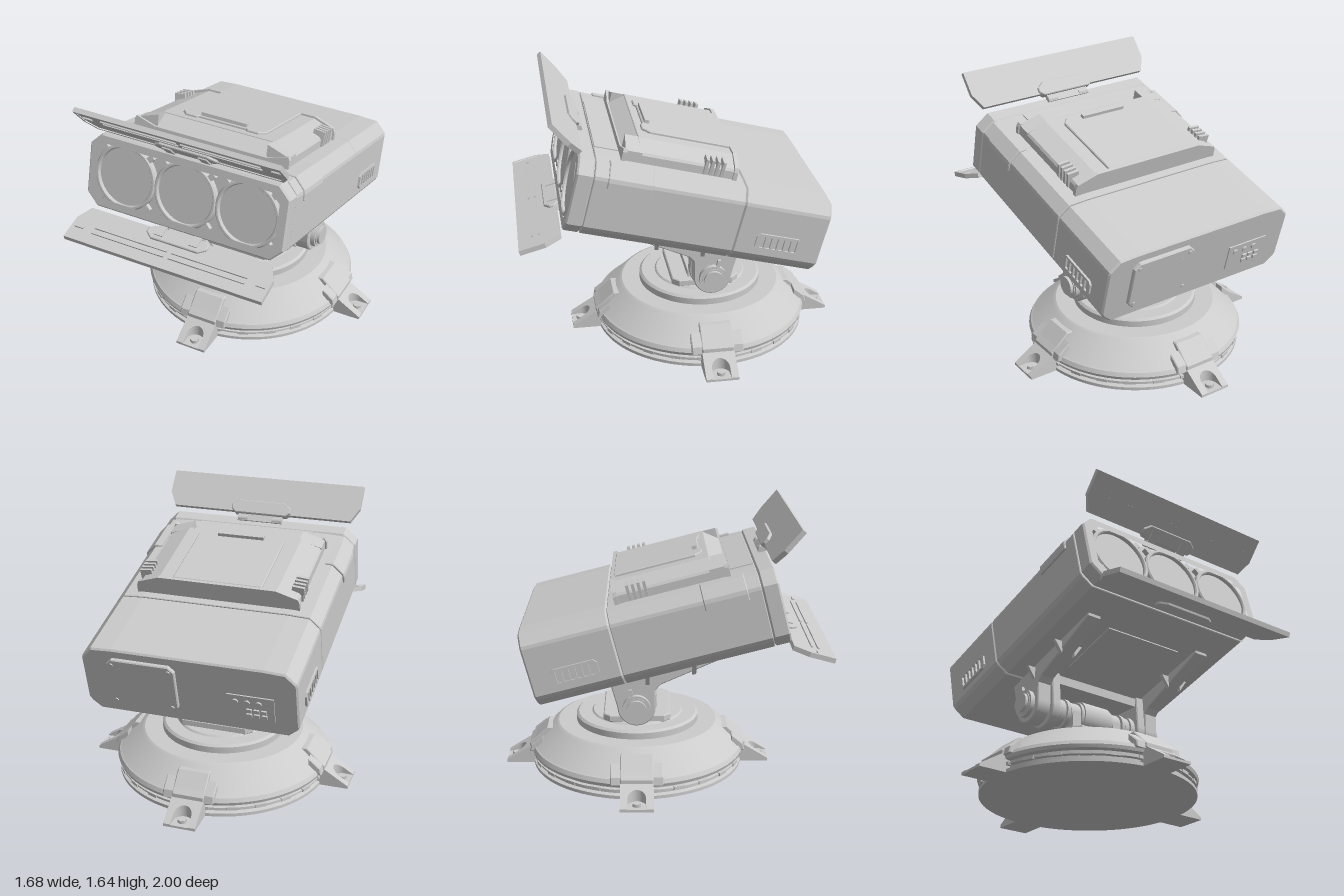
import * as THREE from 'three';
import { toCreasedNormals } from 'three/addons/utils/BufferGeometryUtils.js';

const mat = new THREE.MeshStandardMaterial({ color: 0xcccccc });
const PIVOT_Y = 0.508, PIVOT_Z = -0.155;

function add(parent, name, geo, x = 0, y = 0, z = 0) {
  const m = new THREE.Mesh(geo, mat);
  m.name = name;
  m.position.set(x, y, z);
  parent.add(m);
  return m;
}
const box = (p, name, w, h, d, x, y, z) => add(p, name, new THREE.BoxGeometry(w, h, d), x, y, z);
const poly = pts => new THREE.Shape(pts.map(([x, y]) => new THREE.Vector2(x, y)));
// half outline on the +x side, mirrored into a closed shape
const mirrored = half => poly([...half, ...half.map(([x, y]) => [-x, y]).reverse()]);
const octagon = (w, h, c) => mirrored([[w - c, h], [w, h - c], [w, c - h], [w - c, -h]]);

// extrude an x-y shape from z0 to z1, bevelled inside its outline
function slab(shape, z0, z1, b = 0) {
  const g = new THREE.ExtrudeGeometry(shape, {
    depth: z1 - z0 - 2 * b, bevelEnabled: b > 0, bevelThickness: b, bevelSize: b,
    bevelOffset: -b, bevelSegments: 1, curveSegments: 20,
  });
  return g.translate(0, 0, z0 + b);
}
// extrude a z-y shape from x0 to x1
const sideSlab = (shape, x0, x1, b = 0.006) => slab(shape, -x1, -x0, b).rotateY(-Math.PI / 2);
// cylinder along x
function axle(p, name, r, x0, x1, seg = 40) {
  add(p, name, new THREE.CylinderGeometry(r, r, x1 - x0, seg).rotateZ(Math.PI / 2), (x0 + x1) / 2, PIVOT_Y, PIVOT_Z);
}

function buildBase() {
  const base = new THREE.Group();
  base.name = 'base';
  base.position.z = PIVOT_Z;
  const profile = [[0, 0], [0.67, 0], [0.67, 0.02], [0.645, 0.027], [0.645, 0.043], [0.665, 0.047], [0.665, 0.057],
    [0.645, 0.061], [0.645, 0.075], [0.675, 0.08], [0.682, 0.1], [0.67, 0.125], [0.655, 0.132], [0.525, 0.262], [0.505, 0.272],
    [0.39, 0.272], [0.39, 0.312], [0.375, 0.325], [0.29, 0.325], [0.28, 0.335], [0, 0.335]];
  const lathe = new THREE.LatheGeometry(profile.map(([x, y]) => new THREE.Vector2(x, y)), 72);
  add(base, 'baseDisc', toCreasedNormals(lathe, 0.4));
  // small blocks in the rim groove
  for (let i = 0; i < 24; i++) {
    const a = (i + 0.5) * Math.PI / 12;
    box(base, 'rimBlock', 0.07, 0.02, 0.03, Math.sin(a) * 0.655, 0.052, Math.cos(a) * 0.655).rotation.y = a;
  }
  for (let i = 0; i < 4; i++) {
    const arm = new THREE.Group();
    arm.name = 'foot';
    arm.rotation.y = i * Math.PI / 2;
    base.add(arm);
    // wedge with a U notch, its upper face dropped to a slope
    const s = poly([[-0.1, -0.62], [-0.1, -0.84], [-0.055, -0.84], [-0.055, -0.78]]);
    s.absarc(0, -0.78, 0.055, Math.PI, 0, true);
    s.lineTo(0.055, -0.84);
    s.lineTo(0.1, -0.84);
    s.lineTo(0.1, -0.62);
    const wedge = slab(s, 0, 1).rotateX(-Math.PI / 2);
    const pos = wedge.attributes.position;
    for (let k = 0; k < pos.count; k++) {
      if (pos.getY(k) > 0.5) pos.setY(k, 0.018 + (0.84 - pos.getZ(k)) * 0.62);
    }
    wedge.computeVertexNormals();
    add(arm, 'footWedge', wedge);
    box(arm, 'footPlate', 0.2, 0.014, 0.22, 0, 0.007, 0.73);
    add(arm, 'bolt', new THREE.CylinderGeometry(0.028, 0.028, 0.02, 6), 0, 0.024, 0.785);
    // raised block on the slope above the foot
    const blockSide = poly([[0.6, 0.1], [0.69, 0.1], [0.69, 0.135], [0.655, 0.165], [0.575, 0.24], [0.5, 0.24]]);
    add(arm, 'slopeBlock', sideSlab(blockSide, -0.1, 0.1));
    const flange = poly([[0.6, 0.1], [0.685, 0.1], [0.675, 0.145], [0.6, 0.205]]);
    add(arm, 'slopeFlange', sideSlab(flange, -0.16, 0.16));
  }
  add(base, 'mountPlate', slab(octagon(0.245, 0.21, 0.04), 0, 0.045, 0.006).rotateX(-Math.PI / 2), 0, 0.33, 0);
  return base;
}

function buildPivot() {
  const g = new THREE.Group();
  g.name = 'tiltPivot';
  axle(g, 'motorDrum', 0.108, -0.1, 0.1);
  axle(g, 'axleCore', 0.07, -0.5, 0.5);
  box(g, 'saddle', 0.4, 0.05, 0.22, 0, 0.395, PIVOT_Z);
  // rounded cheek of the yoke
  const cheek = poly([[PIVOT_Z + 0.11, 0.72], [PIVOT_Z - 0.11, 0.72], [PIVOT_Z - 0.12, PIVOT_Y]]);
  cheek.absarc(PIVOT_Z, PIVOT_Y, 0.125, Math.PI, 2 * Math.PI, false);
  // long arm reaching forward under the head
  const arm = poly([[0.465, 0.9], [0.465, 0.865], [-0.01, 0.655], [-0.04, 0.62], [PIVOT_Z + 0.115, PIVOT_Y]]);
  arm.absarc(PIVOT_Z, PIVOT_Y, 0.115, 0, -Math.PI, true);
  arm.lineTo(-0.315, 0.67);
  arm.lineTo(-0.315, 0.71);
  const tooth = poly([[0, 0.04], [0, -0.04], [0.055, 0.04]]);
  for (const s of [-1, 1]) {
    const span = (a, b) => (s > 0 ? [a, b] : [-b, -a]);
    axle(g, 'drumRing', 0.098, ...span(0.1, 0.12));
    axle(g, 'drumCollar', 0.085, ...span(0.12, 0.19));
    axle(g, 'gearHub', 0.095, ...span(0.2, 0.225));
    axle(g, 'gear', 0.088, ...span(0.232, 0.262), 16);
    axle(g, 'gearRim', 0.095, ...span(0.268, 0.3));
    add(g, 'yokeCheek', sideSlab(cheek, ...span(0.3, 0.36)));
    add(g, 'tiltArm', sideSlab(arm, ...span(0.37, 0.465)));
    axle(g, 'endCap', 0.085, ...span(0.46, 0.495));
    axle(g, 'endCapFace', 0.06, ...span(0.495, 0.518));
    box(g, 'lever', 0.02, 0.13, 0.02, s * 0.48, 0.565, PIVOT_Z - 0.025).rotation.x = -0.2;
    // stand holding the drum
    box(g, 'drumStand', 0.06, 0.13, 0.14, s * 0.155, 0.425, PIVOT_Z + 0.02);
    add(g, 'standKnuckle', new THREE.CylinderGeometry(0.03, 0.03, 0.14, 20).rotateX(Math.PI / 2), s * 0.155, 0.485, PIVOT_Z + 0.02);
    // gusset teeth beside the arm
    for (const [y, z] of [[0.76, 0.19], [0.69, -0.09]]) {
      const t = add(g, 'gusset', slab(tooth, -0.012, 0.012), s * 0.462, y, z);
      if (s < 0) t.rotation.y = Math.PI;
      const u = add(g, 'innerGusset', slab(tooth, -0.012, 0.012), s * 0.372, y, z);
      if (s > 0) u.rotation.y = Math.PI;
    }
  }
  box(g, 'yokeBeam', 0.72, 0.055, 0.2, 0, 0.685, PIVOT_Z);
  return g;
}

function buildHead() {
  const head = new THREE.Group();
  head.name = 'head';
  head.position.set(0, 0.988, -0.046);
  head.rotation.x = -0.253;
  const half = [[0.46, 0.23], [0.585, 0.222], [0.645, 0.16], [0.65, 0.14], [0.65, -0.155], [0.635, -0.18], [0.58, -0.23]];
  const shell = mirrored(half);
  add(head, 'rearShell', slab(shell, -0.767, -0.232, 0.01));
  add(head, 'midShell', slab(shell, -0.23, 0.665, 0.004));
  // front frame with a recessed face
  const frame = octagon(0.65, 0.23, 0.075);
  frame.holes.push(octagon(0.6, 0.185, 0.065));
  add(head, 'frontFrame', slab(frame, 0.667, 0.767, 0.01));
  add(head, 'frontFace', slab(octagon(0.615, 0.2, 0.06), 0.66, 0.73));
  const ring = toCreasedNormals(new THREE.LatheGeometry([[0.178, 0], [0.203, 0], [0.203, 0.03], [0.195, 0.038],
    [0.184, 0.038], [0.178, 0.03], [0.178, 0]].map(([x, y]) => new THREE.Vector2(x, y)), 48), 0.5).rotateX(Math.PI / 2);
  for (const x of [-0.4, 0, 0.4]) {
    add(head, 'lampRing', ring, x, 0, 0.728);
    add(head, 'lampGlass', new THREE.CylinderGeometry(0.18, 0.18, 0.02, 48).rotateX(Math.PI / 2), x, 0, 0.735);
    for (let i = 0; i < 4; i++) {
      const a = Math.PI / 4 + i * Math.PI / 2;
      box(head, 'lampLug', 0.05, 0.035, 0.035, x + Math.cos(a) * 0.215, Math.sin(a) * 0.215, 0.742).rotation.z = a;
    }
  }
  // roof hatch
  const hatch = k => mirrored([[0.37, 0.335 + k], [0.49 + k, 0.29 + k], [0.5 + k, 0.275], [0.5 + k, 0.2]]);
  add(head, 'hatch', slab(hatch(0), -0.17, 0.42, 0.004));
  const nose = poly([[0.41, 0.2], [0.505, 0.2], [0.505, 0.262], [0.41, 0.335]]);
  add(head, 'hatchNose', sideSlab(nose, -0.365, 0.365, 0));
  for (const s of [-1, 1]) {
    const cheek = s > 0 ? [[0.36, 0.2], [0.5, 0.2], [0.5, 0.29], [0.36, 0.335]] : [[-0.5, 0.2], [-0.36, 0.2], [-0.36, 0.335], [-0.5, 0.29]];
    add(head, 'hatchCheek', slab(poly(cheek), 0.4, 0.5));
    for (let i = 0; i < 4; i++) {
      box(head, 'hatchFin', 0.075, 0.095, 0.018, s * 0.478, 0.283, -0.085 + i * 0.034).rotation.z = -s * 0.1;
    }
    // wrap-over cover on the upper side edge
    const cover = [[0.54, 0.21], [0.54, 0.234], [0.592, 0.232], [0.656, 0.165], [0.662, 0.14], [0.662, 0.1], [0.64, 0.1]];
    add(head, 'sideCover', slab(poly(cover.map(([x, y]) => [s * x, y])), 0.325, 0.585, 0.005));
    // side louvre: frame with six slots
    const vent = octagon(0.14, 0.052, 0.02);
    for (let i = 0; i < 6; i++) {
      const c = -0.1 + i * 0.04;
      vent.holes.push(poly([[c - 0.013, -0.036], [c + 0.013, -0.036], [c + 0.013, 0.036], [c - 0.013, 0.036]]));
    }
    const v = add(head, 'sideVent', slab(vent, 0, 0.014), s * 0.649, -0.066, -0.494);
    v.rotation.y = s * Math.PI / 2;
  }
  add(head, 'hatchFrontLip', slab(mirrored([[0.37, 0.262], [0.5, 0.3], [0.51, 0.28], [0.51, 0.2]]), 0.49, 0.515));
  add(head, 'hatchRearLip', slab(hatch(0.012), -0.18, -0.155));
  const lid = mirrored([[0.28, 0.16], [0.28, -0.34], [0.24, -0.385], [0.17, -0.385], [0.155, -0.37]]);
  add(head, 'hatchLid', slab(lid, 0, 0.02, 0.005).rotateX(-Math.PI / 2), 0, 0.33, 0);
  box(head, 'lidHandle', 0.3, 0.025, 0.03, 0, 0.358, 0.345);
  box(head, 'roofPanel', 0.76, 0.012, 0.14, 0, 0.23, 0.59);
  box(head, 'bellyPanel', 0.54, 0.014, 0.42, 0, -0.231, 0.2);
  // rear screen and connector panel
  const screen = octagon(0.21, 0.165, 0.035);
  screen.holes.push(octagon(0.165, 0.125, 0.045));
  add(head, 'screenFrame', slab(screen, -0.79, -0.76, 0.006), 0.28, 0.01, 0);
  add(head, 'screen', slab(octagon(0.155, 0.115, 0.04), -0.776, -0.76), 0.28, 0.01, 0);
  for (const x of [-1, 1]) for (const y of [-1, 1]) {
    add(head, 'screenScrew', new THREE.CylinderGeometry(0.012, 0.012, 0.01, 12).rotateX(Math.PI / 2), 0.28 + x * 0.175, 0.01 + y * 0.13, -0.793);
  }
  box(head, 'connectorPanel', 0.28, 0.17, 0.014, -0.37, -0.05, -0.768);
  for (let i = 0; i < 3; i++) {
    add(head, 'socket', new THREE.CylinderGeometry(0.018, 0.018, 0.016, 16).rotateX(Math.PI / 2), -0.28 - i * 0.07, -0.01, -0.778);
    for (const y of [-0.065, -0.1]) box(head, 'port', 0.032, 0.024, 0.016, -0.36 - i * 0.045, y, -0.778);
  }
  return head;
}

// flap lying in x-y: hinge edge at y = 0, inner side facing +z
function buildFlap(name) {
  const g = new THREE.Group();
  g.name = name;
  const outline = k => mirrored([[0.65 - k, 0.25 - k], [0.65 - k, 0.095 + k * 0.3], [0.6 - k * 0.8, k]]);
  add(g, 'flapPlate', slab(outline(0), -0.014, 0.006));
  const rim = outline(0);
  rim.holes.push(outline(0.018));
  add(g, 'flapRim', slab(rim, 0.004, 0.016));
  for (const s of [-1, 1]) {
    for (const y of [0.125, 0.165]) box(g, 'flapRib', 0.49, 0.012, 0.012, s * 0.26, y, 0.009);
    box(g, 'flapTab', 0.06, 0.016, 0.012, s * 0.6, 0.15, 0.009);
    box(g, 'hingeLug', 0.055, 0.1, 0.035, s * 0.115, 0, 0.012);
    add(g, 'hingePin', new THREE.CylinderGeometry(0.022, 0.022, 0.065, 16).rotateZ(Math.PI / 2), s * 0.115, -0.04, 0.005);
  }
  add(g, 'hingePlate', slab(mirrored([[0.155, 0.075], [0.2, 0.04], [0.2, 0.01], [0.17, -0.015]]), -0.032, 0.022, 0.005));
  box(g, 'hingeLeaf', 0.3, 0.05, 0.02, 0, -0.035, 0);
  return g;
}

export function createModel() {
  const model = new THREE.Group();
  model.name = 'swivelFloodlight';
  const upper = buildFlap('upperFlap');
  upper.position.set(0, 1.437, 0.63);
  upper.rotation.x = 0.707;
  const lower = buildFlap('lowerFlap');
  lower.position.set(0, 0.925, 0.76);
  lower.rotation.set(-1.307, 0, Math.PI);
  model.add(buildBase(), buildPivot(), buildHead(), upper, lower);
  return model;
}
